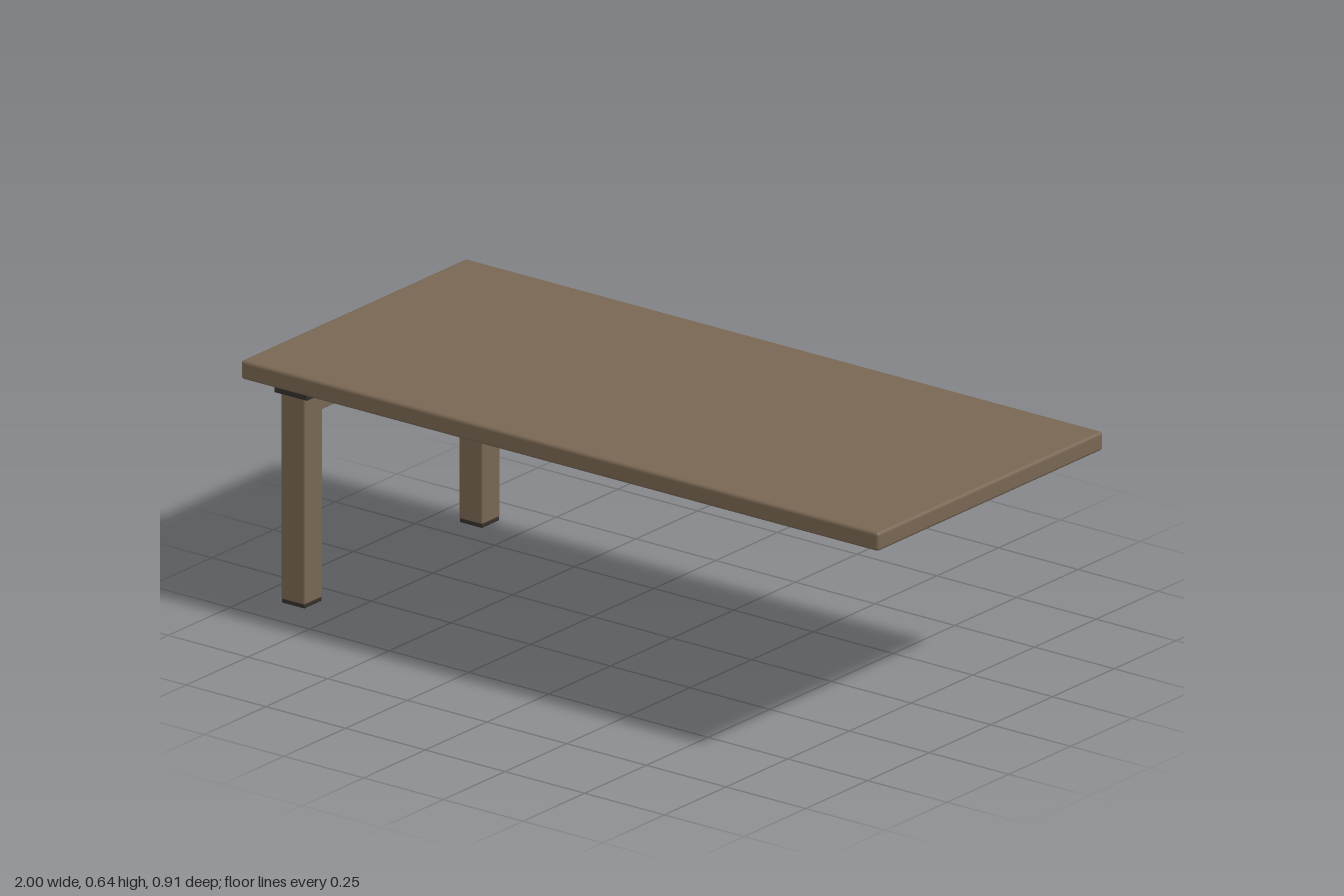
import * as THREE from 'three';
import { RoundedBoxGeometry } from 'three/addons/geometries/RoundedBoxGeometry.js';

export function createModel() {
  const model = new THREE.Group();
  model.name = 'table';

  const wood = new THREE.MeshStandardMaterial({ color: 0x786652 });
  wood.name = 'brown wood';
  const dark = new THREE.MeshStandardMaterial({ color: 0x35302b });
  dark.name = 'dark fitting';

  // Rounded block given by its extents on each axis
  function block(name, material, [x0, x1], [y0, y1], [z0, z1], radius = 0.003, parent = model) {
    const geometry = new RoundedBoxGeometry(x1 - x0, y1 - y0, z1 - z0, 3, radius);
    const mesh = new THREE.Mesh(geometry, material);
    mesh.name = name;
    mesh.position.set((x0 + x1) / 2, (y0 + y1) / 2, (z0 + z1) / 2);
    parent.add(mesh);
    return mesh;
  }

  // Top slab and the thinner board under it
  block('tableTop', wood, [-1, 1], [0.592, 0.642], [-0.457, 0.457], 0.009);
  block('underBoard', wood, [-0.966, 0.966], [0.577, 0.594], [-0.43, 0.416], 0.002);

  // Shallow access panel under one end, with a dark edge strip
  block('accessPanel', wood, [0.638, 0.96], [0.573, 0.579], [-0.09, 0.306], 0.001);
  block('panelEdgeStrip', dark, [0.638, 0.96], [0.571, 0.579], [-0.101, -0.09], 0.001);

  // Long back rail and the short rail between the legs
  block('backRail', wood, [-0.808, 0.803], [0.5, 0.578], [-0.358, -0.315]);
  block('endRail', wood, [-0.904, -0.861], [0.499, 0.578], [-0.33, 0.33]);

  // Front and back legs at the right end, each with mounting plate and foot
  for (const side of [1, -1]) {
    const leg = new THREE.Group();
    leg.name = side > 0 ? 'frontLeg' : 'backLeg';
    leg.position.set(-0.8825, 0, side * 0.36);
    model.add(leg);
    block('legPost', wood, [-0.037, 0.037], [0.01, 0.565], [-0.037, 0.037], 0.005, leg);
    block('mountingPlate', dark, [-0.052, 0.052], [0.557, 0.579], [-0.046, 0.046], 0.003, leg);
    block('footPad', dark, [-0.036, 0.036], [0, 0.014], [-0.036, 0.036], 0.004, leg);
  }

  return model;
}
